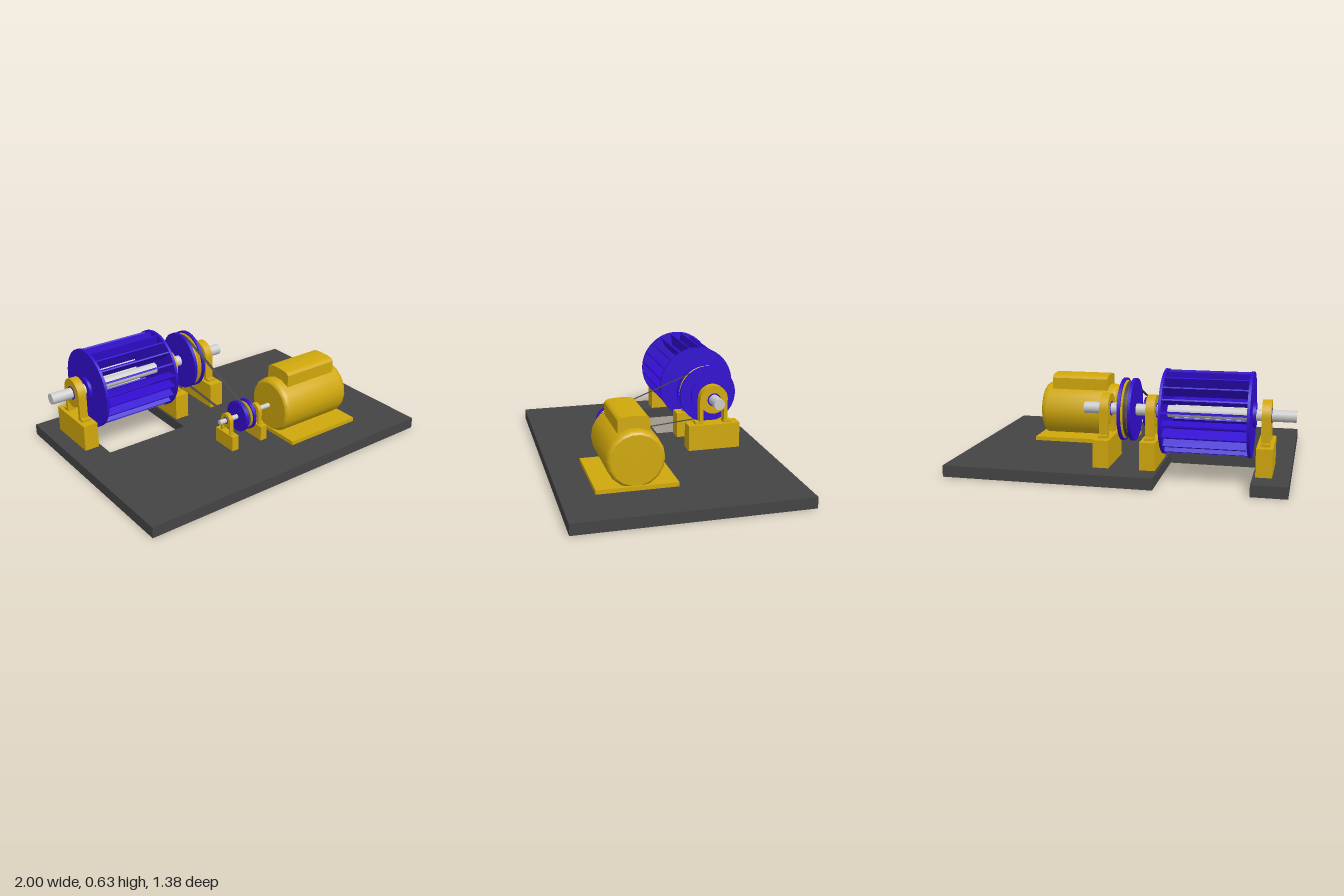
import * as THREE from 'three';
import { toCreasedNormals } from 'three/addons/utils/BufferGeometryUtils.js';

const material = (color, side = THREE.FrontSide) => new THREE.MeshStandardMaterial({ color, side });
const YELLOW = material(0xd0a80c);
const BLUE = material(0x320dd0);
const STEEL = material(0xcccccc);
const DARK = material(0x444444);
const BELT = material(0x444444, THREE.DoubleSide);

// Axes of the two shafts
const MAIN = { y: 0.385, z: -0.377 };
const DRIVE = { y: 0.24, z: 0.24 };

function add(parent, name, geometry, mat, x = 0, y = 0, z = 0) {
  const mesh = new THREE.Mesh(geometry, mat);
  mesh.name = name;
  mesh.position.set(x, y, z);
  parent.add(mesh);
  return mesh;
}

// Box given by its limits
function block(parent, name, mat, [x0, x1], [y0, y1], [z0, z1]) {
  return add(parent, name, new THREE.BoxGeometry(x1 - x0, y1 - y0, z1 - z0), mat,
    (x0 + x1) / 2, (y0 + y1) / 2, (z0 + z1) / 2);
}

// Cylinder lying along x
function rod(parent, name, mat, r, x0, x1, y = 0, z = 0, sides = 40) {
  const g = new THREE.CylinderGeometry(r, r, x1 - x0, sides).rotateZ(-Math.PI / 2);
  return add(parent, name, g, mat, (x0 + x1) / 2, y, z);
}

// Turned part along x, profile points are [x, radius]
function turned(points, sides) {
  const g = new THREE.LatheGeometry(points.map(([x, r]) => new THREE.Vector2(r, x)), sides);
  return toCreasedNormals(g.rotateZ(-Math.PI / 2), 0.5);
}

// Profile in the (z, y) plane, thickened along x and centred on x = 0
function slab(shape, width) {
  const g = new THREE.ExtrudeGeometry(shape, { depth: width, bevelEnabled: false, curveSegments: 24 });
  return g.translate(0, 0, -width / 2).rotateY(Math.PI / 2);
}

// Pillow block on its pedestal, origin on the shaft axis
function pillowBlock(name, x, axis, scale) {
  const g = new THREE.Group();
  g.name = name;
  const R = 0.09, legIn = 0.067, foot = -0.155, footTop = -0.14, toe = 0.117;
  const a = Math.acos(legIn / R);
  const s = new THREE.Shape();
  s.moveTo(R, 0);
  s.absarc(0, 0, R, 0, Math.PI, false);
  s.lineTo(-R, footTop);
  s.lineTo(-toe, footTop);
  s.lineTo(-toe, foot);
  s.lineTo(-legIn, foot);
  s.lineTo(-legIn, -R * Math.sin(a));
  s.absarc(0, 0, R, Math.PI + a, 2 * Math.PI - a, false);
  s.lineTo(legIn, foot);
  s.lineTo(toe, foot);
  s.lineTo(toe, footTop);
  s.lineTo(R, footTop);
  s.closePath();
  s.holes.push(new THREE.Path().absarc(0, 0, 0.04, 0, Math.PI * 2, true));
  add(g, 'housing', slab(s, 0.052), YELLOW);

  // Bush between housing and shaft
  const bush = new THREE.Shape().absarc(0, 0, 0.042, 0, Math.PI * 2, false);
  bush.holes.push(new THREE.Path().absarc(0, 0, 0.033, 0, Math.PI * 2, true));
  add(g, 'bush', slab(bush, 0.056), BLUE);

  const bottom = (0.065 - axis.y) / scale;
  block(g, 'pedestal', YELLOW, [-0.046, 0.046], [bottom, foot], [-0.166, 0.166]);
  g.position.set(x, axis.y, axis.z);
  g.scale.setScalar(scale);
  return g;
}

// Grooved pulley: two rims around a V-shaped core
function pulley(name, axis, R, depth) {
  const g = new THREE.Group();
  g.name = name;
  rod(g, 'rim', BLUE, R, -0.04, -0.021, 0, 0, 48);
  rod(g, 'rim', BLUE, R, 0.018, 0.037, 0, 0, 48);
  add(g, 'grooveCore', turned([[-0.022, R - 0.008], [-0.008, R - depth],
    [0.006, R - depth], [0.02, R - 0.008]], 48), YELLOW);
  g.position.set(-0.045, axis.y, axis.z);
  return g;
}

// Thin open belt wrapped around both pulleys
function beltGeometry(R, r, width) {
  const dz = DRIVE.z - MAIN.z, dy = DRIVE.y - MAIN.y;
  const phi = Math.atan2(dy, dz), a = Math.acos((R - r) / Math.hypot(dz, dy));
  const loop = [], n = 28;
  const arc = (c, rad, from, to) => {
    for (let i = 0; i <= n; i++) {
      const t = from + (to - from) * i / n;
      loop.push([c.z + rad * Math.cos(t), c.y + rad * Math.sin(t)]);
    }
  };
  arc(MAIN, R, phi + a, phi + 2 * Math.PI - a);
  arc(DRIVE, r, phi - a, phi + a);
  const pos = [], index = [];
  loop.forEach(([z, y], i) => {
    pos.push(-width / 2, y, z, width / 2, y, z);
    const p = 2 * i, q = 2 * ((i + 1) % loop.length);
    index.push(p, q, p + 1, p + 1, q, q + 1);
  });
  const g = new THREE.BufferGeometry();
  g.setAttribute('position', new THREE.Float32BufferAttribute(pos, 3));
  g.setIndex(index);
  g.computeVertexNormals();
  return g;
}

export function createModel() {
  const model = new THREE.Group();
  model.name = 'drumDriveUnit';

  // Base plate with a notch below the drum
  const plate = new THREE.Shape([[-0.98, -0.685], [1, -0.685], [1, 0.69], [-0.24, 0.69], [-0.24, 0.105],
    [-0.775, 0.105], [-0.775, 0.69], [-0.98, 0.69]].map(p => new THREE.Vector2(...p)));
  add(model, 'basePlate', new THREE.ExtrudeGeometry(plate, { depth: 0.068, bevelEnabled: false })
    .rotateX(-Math.PI / 2), DARK);

  // Shafts
  rod(model, 'mainShaft', STEEL, 0.034, -1, 0.225, MAIN.y, MAIN.z);
  rod(model, 'driveShaft', STEEL, 0.015, -0.215, 0.2, DRIVE.y, DRIVE.z);

  // Bladed drum
  const drum = new THREE.Group();
  drum.name = 'drum';
  drum.position.set(0, MAIN.y, MAIN.z);
  model.add(drum);
  for (const side of [-1, 1]) {
    const x = -0.507 + side * 0.244;
    rod(drum, 'endDisc', BLUE, 0.245, x - 0.008, x + 0.008, 0, 0, 64);
    const h = x + side * 0.016;
    rod(drum, 'hub', BLUE, 0.07, h - 0.01, h + 0.01);
  }
  const blades = 20;
  const bladeGeometry = new THREE.BoxGeometry(0.48, 0.078, 0.009).translate(0, 0.2, 0);
  for (let i = 0; i < blades; i++) {
    const blade = add(drum, 'blade', bladeGeometry, BLUE, -0.507);
    blade.rotation.x = (i + 0.5) / blades * Math.PI * 2;
  }

  // Bearings of both shafts
  for (const x of [-0.837, -0.18, 0.091]) model.add(pillowBlock('mainBearing', x, MAIN, 1));
  for (const x of [-0.157, 0.06]) model.add(pillowBlock('driveBearing', x, DRIVE, 0.5));

  // Pulleys and belt
  const large = pulley('largePulley', MAIN, 0.182, 0.03);
  rod(large, 'hub', BLUE, 0.112, 0.03, 0.051);
  model.add(large, pulley('smallPulley', DRIVE, 0.095, 0.03));
  add(model, 'belt', beltGeometry(0.163, 0.076, 0.02), BELT, -0.048);

  // Motor
  const motor = new THREE.Group();
  motor.name = 'motor';
  model.add(motor);
  block(motor, 'motorFoot', YELLOW, [0.155, 0.668], [0.065, 0.093], [0.003, 0.483]);
  add(motor, 'motorBody', turned([[-0.247, 0], [-0.247, 0.15], [-0.24, 0.161], [-0.228, 0.168], [-0.21, 0.171],
    [0.21, 0.171], [0.228, 0.168], [0.24, 0.161], [0.247, 0.15], [0.247, 0]], 18), YELLOW, 0.409, 0.241, 0.247);
  const box = new THREE.Shape();
  box.moveTo(-0.093, 0.33);
  box.lineTo(0.093, 0.33);
  box.lineTo(0.093, 0.456);
  box.quadraticCurveTo(0.085, 0.473, 0.06, 0.476);
  box.quadraticCurveTo(0, 0.484, -0.06, 0.476);
  box.quadraticCurveTo(-0.085, 0.473, -0.093, 0.456);
  box.closePath();
  add(motor, 'terminalBox', slab(box, 0.37), YELLOW, 0.411, 0, 0.247);

  return model;
}
